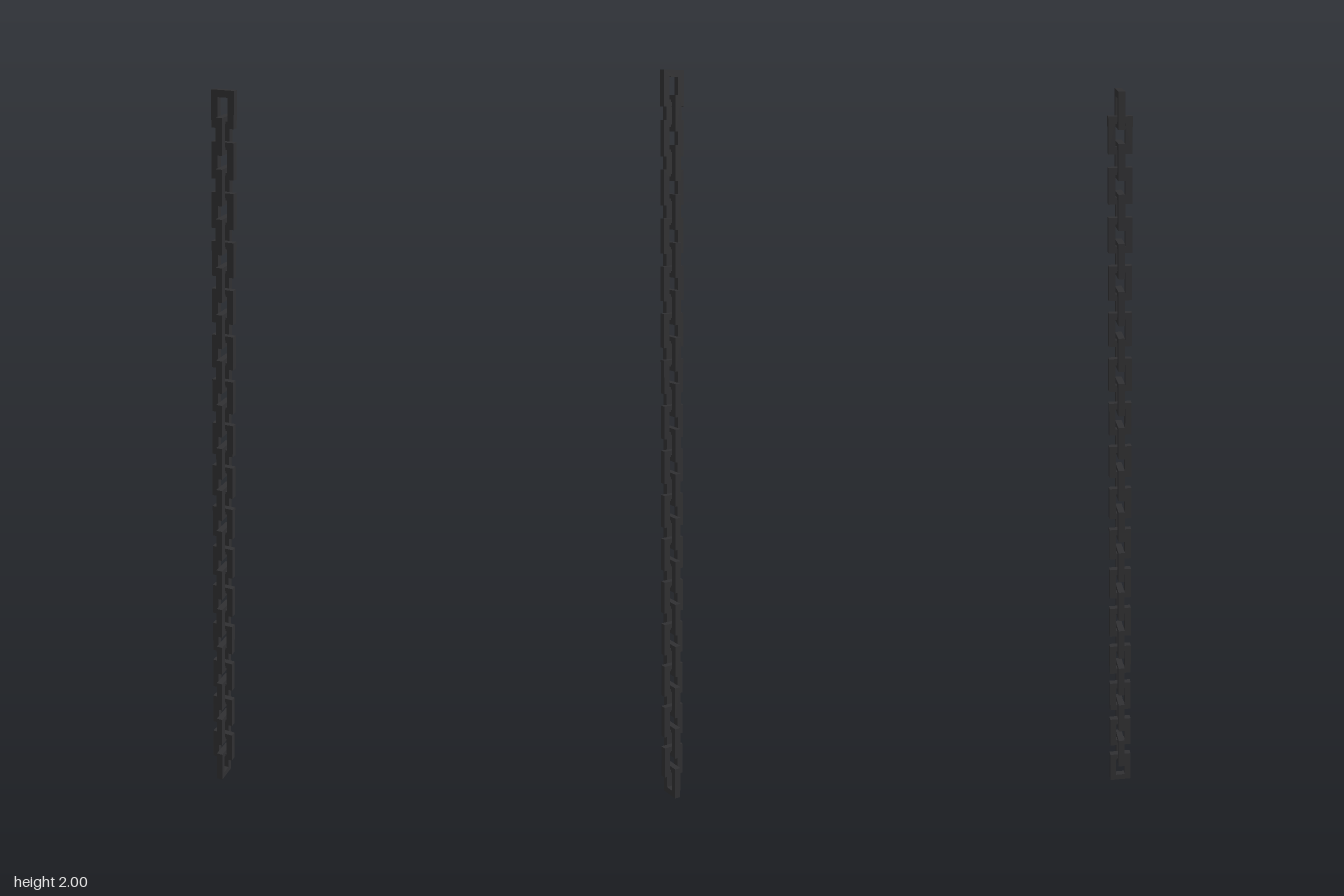
import * as THREE from 'three';

const COUNT = 32, WIDTH = 0.06, HEIGHT = 0.09, BAR = 0.0172;
const PITCH = (2 - HEIGHT) / (COUNT - 1);

// Corners of a centred rectangle
function corners(w, h) {
  return [[-w, -h], [w, -h], [w, h], [-w, h]].map(([x, y]) => new THREE.Vector2(x / 2, y / 2));
}

// Square-cornered link: a rectangle with a rectangular hole
function linkGeometry() {
  const shape = new THREE.Shape(corners(WIDTH, HEIGHT));
  shape.holes.push(new THREE.Path(corners(WIDTH - 2 * BAR, HEIGHT - 2 * BAR).reverse()));
  const geometry = new THREE.ExtrudeGeometry(shape, { depth: BAR, bevelEnabled: false });
  return geometry.translate(0, 0, -BAR / 2);
}

export function createModel() {
  const chain = new THREE.Group();
  chain.name = 'chain';
  const geometry = linkGeometry();
  const material = new THREE.MeshStandardMaterial({ color: 0x303032 });

  // Interlocking links from the bottom up, alternately turned a quarter
  for (let i = 0; i < COUNT; i++) {
    const link = new THREE.Mesh(geometry, material);
    link.name = `link${i + 1}`;
    link.position.y = HEIGHT / 2 + i * PITCH;
    link.rotation.y = i % 2 === 0 ? Math.PI / 2 : 0;
    chain.add(link);
  }
  return chain;
}
